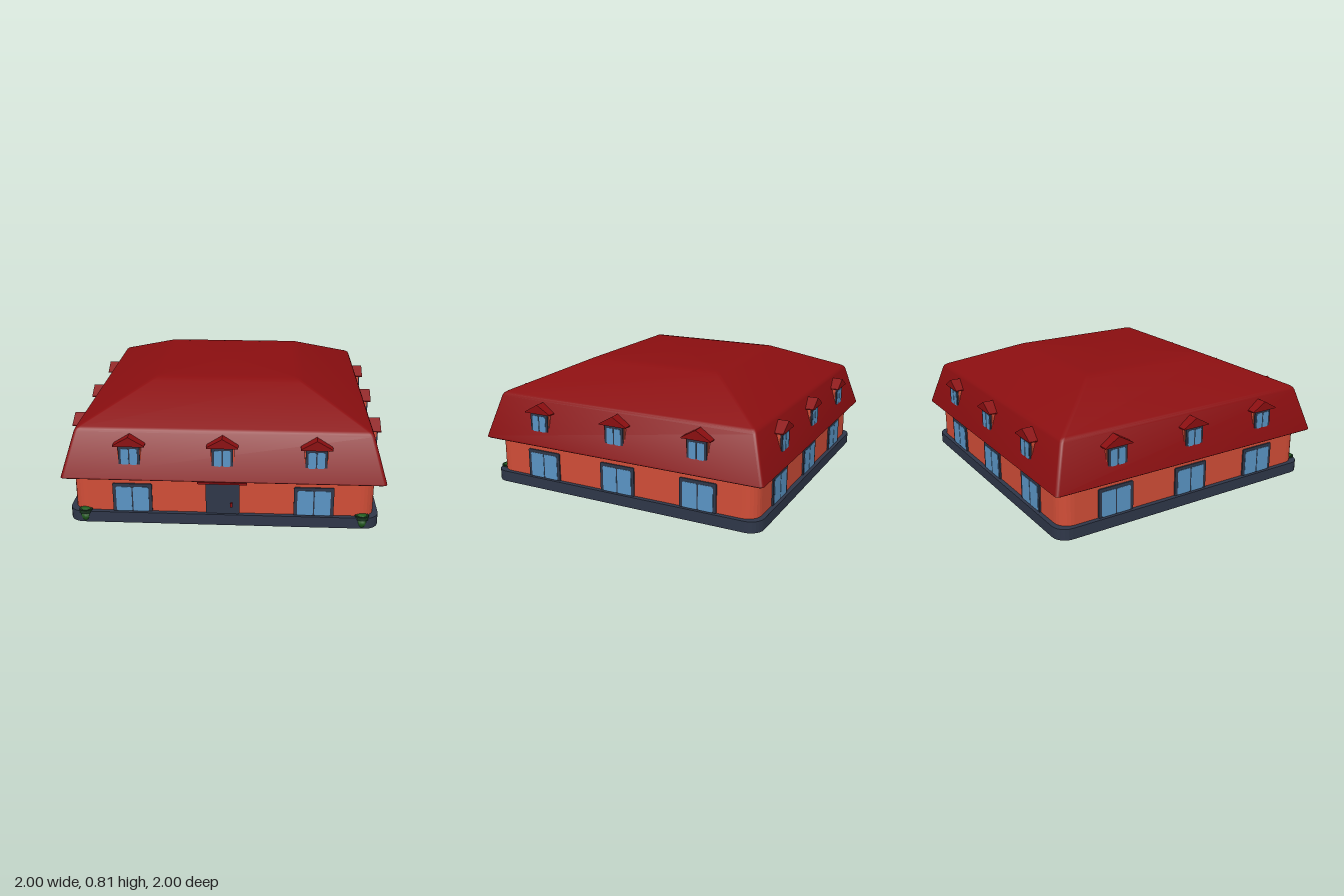
import * as THREE from 'three';
import { toCreasedNormals } from 'three/addons/utils/BufferGeometryUtils.js';

const mat = (name, color) => Object.assign(new THREE.MeshStandardMaterial({ color }), { name });

// Rounded rectangle outline centred on (cx, cy)
function roundRect(w, h, r, cx = 0, cy = 0, Type = THREE.Shape) {
  const s = new Type(), x = w / 2, y = h / 2;
  s.moveTo(cx - x + r, cy - y);
  s.lineTo(cx + x - r, cy - y);
  s.absarc(cx + x - r, cy - y + r, r, -Math.PI / 2, 0);
  s.absarc(cx + x - r, cy + y - r, r, 0, Math.PI / 2);
  s.absarc(cx - x + r, cy + y - r, r, Math.PI / 2, Math.PI);
  s.absarc(cx - x + r, cy - y + r, r, Math.PI, Math.PI * 1.5);
  return s;
}

// Surface through rounded-square rings; profile rows are [half width, height]
function loftSquare(profile, radius, seg = 3) {
  const pos = [], idx = [], n = 4 * (seg + 1);
  for (const [a, y] of profile) {
    const r = Math.min(radius, a);
    for (let c = 0; c < 4; c++) for (let k = 0; k <= seg; k++) {
      const t = (c + k / seg) * Math.PI / 2, m = (c + 0.5) * Math.PI / 2;
      pos.push(Math.sign(Math.cos(m)) * (a - r) + r * Math.cos(t), y,
        Math.sign(Math.sin(m)) * (a - r) + r * Math.sin(t));
    }
  }
  for (let i = 0; i < profile.length - 1; i++) for (let j = 0; j < n; j++) {
    const A = i * n + j, B = i * n + (j + 1) % n, C = A + n, D = B + n;
    if (i < profile.length - 2) idx.push(B, C, D);
    if (i > 0) idx.push(A, C, B);
    else continue;
    if (i === profile.length - 2) continue;
  }
  const g = new THREE.BufferGeometry();
  g.setAttribute('position', new THREE.Float32BufferAttribute(pos, 3));
  g.setIndex(idx);
  return toCreasedNormals(g, 0.7);
}

export function createModel() {
  const wallMat = mat('brick wall', 0xd04d37);
  const roofMat = mat('red roof', 0x8a0e10);
  const trimMat = mat('slate trim', 0x2e3648);
  const glassMat = mat('blue glass', 0x5a94c4);
  const leafMat = mat('leaf green', 0x1f5a1c);
  const potMat = mat('dark green', 0x16301c);

  const house = new THREE.Group();
  house.name = 'house';
  const add = (parent, name, geo, m, x = 0, y = 0, z = 0) => {
    const mesh = new THREE.Mesh(geo, m);
    mesh.name = name;
    mesh.position.set(x, y, z);
    parent.add(mesh);
    return mesh;
  };
  const extrude = (shape, depth, curveSegments = 3) =>
    new THREE.ExtrudeGeometry(shape, { depth, bevelEnabled: false, curveSegments });

  // Plinth ring and the walls standing inside it
  const ring = roundRect(1.94, 1.94, 0.09);
  ring.holes.push(roundRect(1.87, 1.87, 0.09, 0, 0, THREE.Path));
  add(house, 'plinth', extrude(ring, 0.072).rotateX(-Math.PI / 2), trimMat);
  add(house, 'walls', extrude(roundRect(1.88, 1.88, 0.09), 0.31).rotateX(-Math.PI / 2), wallMat);

  // Mansard roof with softened edges and a closed underside
  add(house, 'roof', loftSquare([
    [0, 0.305], [0.992, 0.305], [1, 0.311], [0.998, 0.32],
    [0.918, 0.592], [0.91, 0.606], [0.895, 0.617],
    [0.5, 0.792], [0.47, 0.805], [0.43, 0.81], [0, 0.81],
  ], 0.02), roofMat);

  // Two-pane window: frame plate with thin glass plates in front
  function windowUnit(parent, name, w, h, x, y, z, border) {
    const g = new THREE.Group();
    g.name = name;
    g.position.set(x, y, z);
    add(g, 'frame', extrude(roundRect(w, h, 0.008, 0, h / 2), 0.01), trimMat);
    const pw = w / 2 - border - 0.004, ph = h - border - 0.004;
    for (const s of [-1, 1]) {
      add(g, 'pane', extrude(roundRect(pw, ph, 0.01, s * (pw / 2 + 0.004), 0.004 + ph / 2), 0.002),
        glassMat, 0, 0, 0.01);
    }
    parent.add(g);
  }

  // Gabled dormer pushed into the steep roof face
  const gable = new THREE.Shape([[-0.097, 0], [0.097, 0], [0.097, 0.006], [0, 0.062], [-0.097, 0.006]]
    .map(([x, y]) => new THREE.Vector2(x, y)));
  function dormer(parent, x) {
    const g = new THREE.Group();
    g.name = 'dormer';
    g.position.x = x;
    add(g, 'dormerWalls', new THREE.BoxGeometry(0.146, 0.135, 0.1), wallMat, 0, 0.4625, 0.914);
    add(g, 'dormerRoof', extrude(gable, 0.12), roofMat, 0, 0.525, 0.87);
    windowUnit(g, 'dormerWindow', 0.132, 0.125, 0, 0.398, 0.963, 0.016);
    parent.add(g);
  }

  // Same arrangement on all four sides; the front has a door in the middle
  for (let side = 0; side < 4; side++) {
    const face = new THREE.Group();
    face.name = ['frontSide', 'leftSide', 'backSide', 'rightSide'][side];
    face.rotation.y = side * Math.PI / 2;
    for (const i of [-1, 0, 1]) {
      dormer(face, i * 0.57);
      if (side > 0 || i !== 0) windowUnit(face, 'groundWindow', 0.247, 0.19, i * 0.565, 0.07, 0.939, 0.021);
    }
    house.add(face);
  }

  // Door, handle and canopy
  add(house, 'door', extrude(roundRect(0.21, 0.215, 0.012, 0, 0.1775), 0.015), trimMat, 0, 0, 0.938);
  add(house, 'doorHandle', new THREE.BoxGeometry(0.014, 0.03, 0.014), roofMat, 0.055, 0.135, 0.958);
  add(house, 'canopy', new THREE.BoxGeometry(0.305, 0.012, 0.07), roofMat, 0, 0.298, 0.963);

  // Round planters at the front corners
  const bowl = [[0, 0.005], [0.028, 0.005], [0.036, 0.03], [0.04, 0.06], [0, 0.06]]
    .map(([x, y]) => new THREE.Vector2(x, y));
  for (const s of [-1, 1]) {
    const planter = new THREE.Group();
    planter.name = 'planter';
    planter.position.set(s * 0.865, 0, 0.942);
    add(planter, 'bowl', new THREE.LatheGeometry(bowl, 12), leafMat);
    add(planter, 'rim', new THREE.CylinderGeometry(0.043, 0.045, 0.022, 12), potMat, 0, 0.07, 0);
    add(planter, 'shrub', new THREE.SphereGeometry(0.034, 10, 6).scale(1, 0.35, 1), leafMat, 0, 0.078, 0);
    house.add(planter);
  }
  return house;
}
